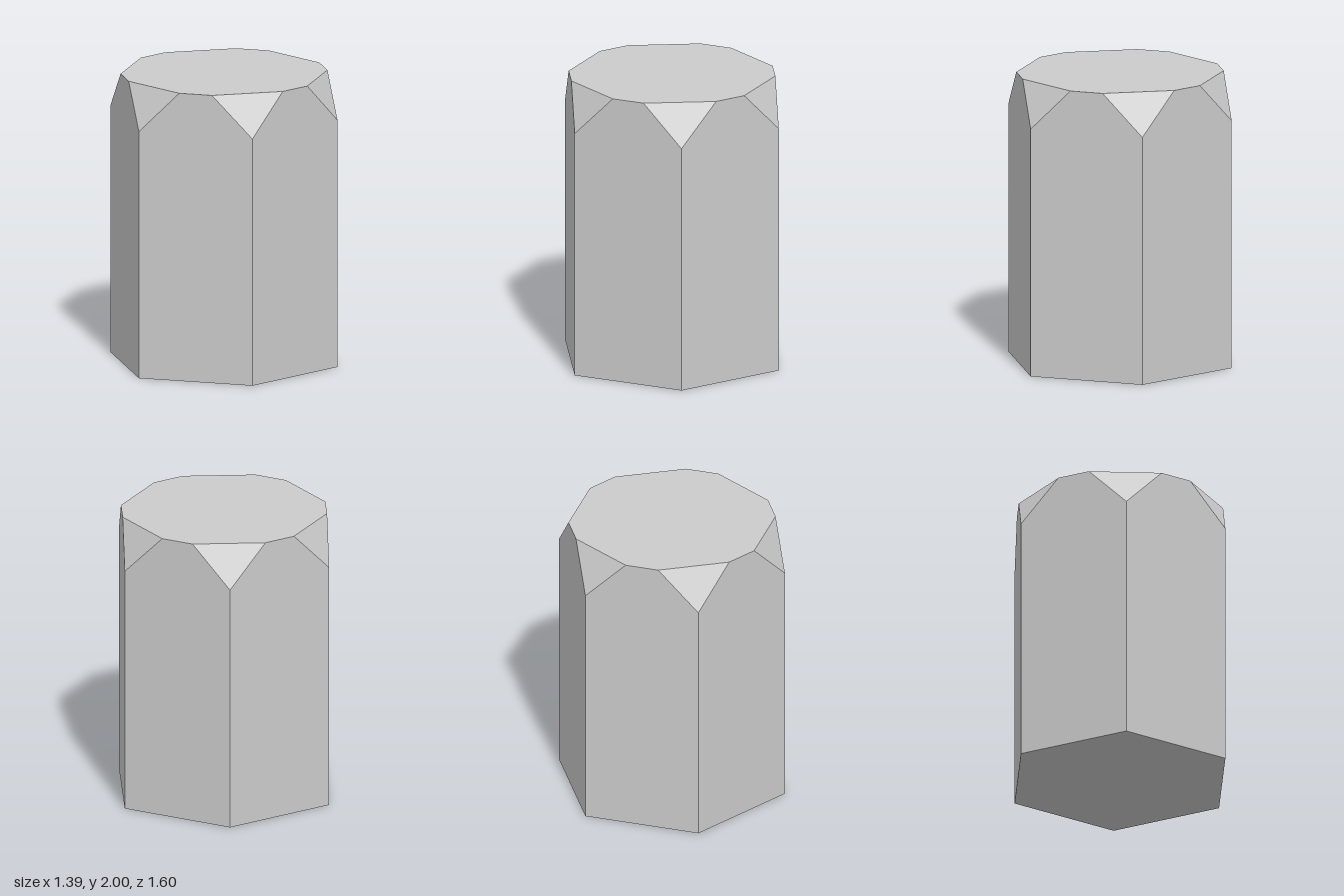
import * as THREE from 'three';

const SIDES = 6, RADIUS = 0.8, HEIGHT = 2, CUT = 0.285;

// Flat-faced mesh from convex polygons, each fanned into triangles
function facetedMesh(name, polygons) {
  const points = [];
  for (const p of polygons)
    for (let i = 1; i < p.length - 1; i++) points.push(p[0], p[i], p[i + 1]);
  const geometry = new THREE.BufferGeometry().setFromPoints(points);
  geometry.computeVertexNormals();
  const material = new THREE.MeshStandardMaterial({ color: 0xcccccc, flatShading: true });
  const mesh = new THREE.Mesh(geometry, material);
  mesh.name = name;
  return mesh;
}

// Corner of the hexagon, one of them facing the front
function corner(i, y) {
  const a = (i * 2 * Math.PI) / SIDES;
  return new THREE.Vector3(RADIUS * Math.sin(a), y, RADIUS * Math.cos(a));
}

// Point on the top rim, CUT away from corner i towards corner j
function rim(i, j) {
  return corner(i, HEIGHT).lerp(corner(j, HEIGHT), CUT / RADIUS);
}

export function createModel() {
  const sides = [], cuts = [], top = [], bottom = [];
  for (let i = 0; i < SIDES; i++) {
    const shoulder = corner(i, HEIGHT - CUT);
    const before = rim(i, i - 1), after = rim(i, i + 1);
    // Wall between this corner and the next
    sides.push([corner(i, 0), corner(i + 1, 0), corner(i + 1, HEIGHT - CUT), rim(i + 1, i), after, shoulder]);
    // Triangular facet cutting off the top corner
    cuts.push([shoulder, after, before]);
    top.push(before, after);
    bottom.unshift(corner(i, 0));
  }

  const group = new THREE.Group();
  group.name = 'hexagonalPrism';
  group.add(
    facetedMesh('sideWalls', sides),
    facetedMesh('cornerFacets', cuts),
    facetedMesh('topFace', [top]),
    facetedMesh('bottomFace', [bottom])
  );
  return group;
}
